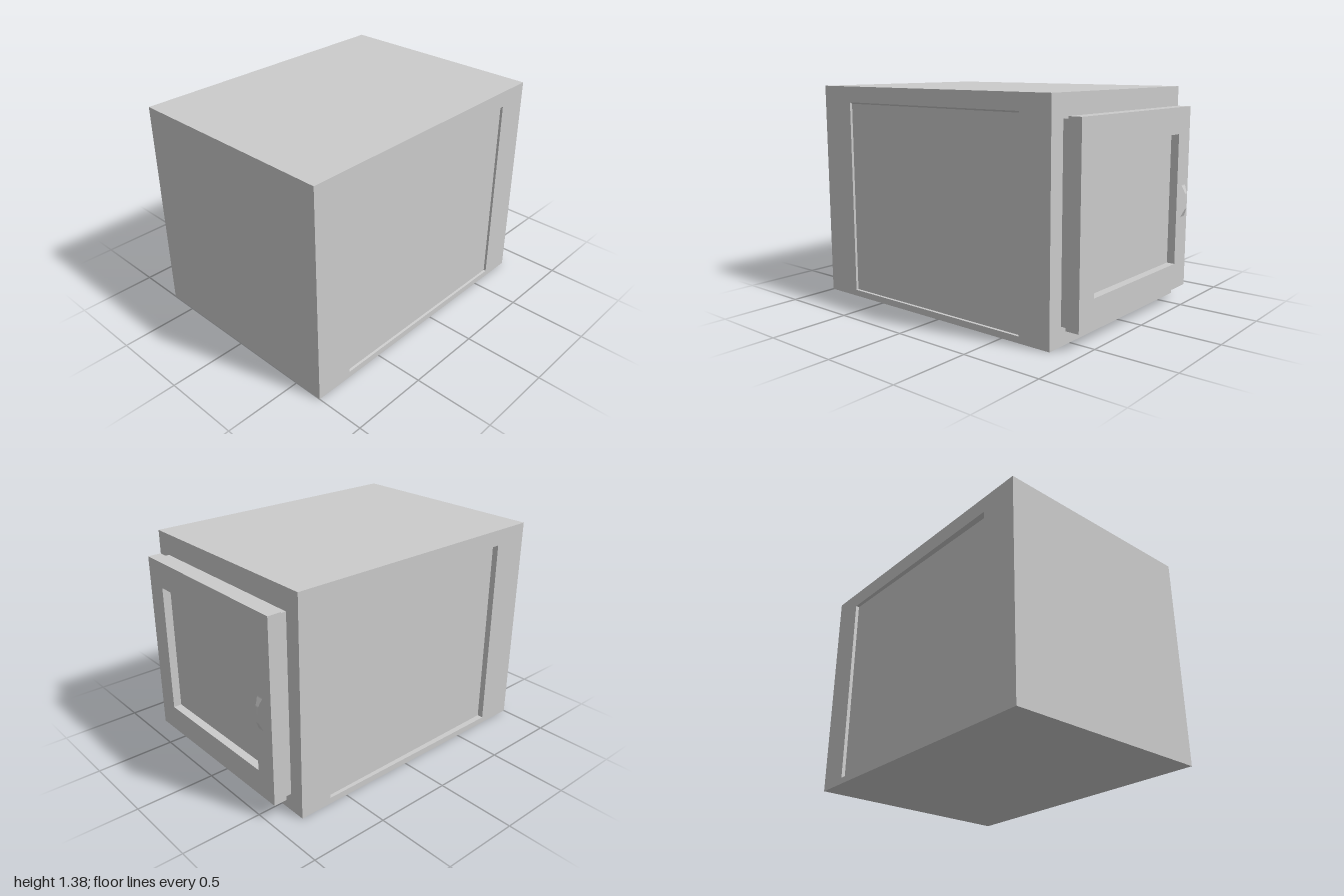
import * as THREE from 'three';

const material = new THREE.MeshStandardMaterial({ color: 0xcccccc });

// Four corners of a rectangle at depth d along an axis; d may be a function of the corner.
function rect(axis, u0, v0, u1, v1, d) {
  return [[u0, v0], [u1, v0], [u1, v1], [u0, v1]].map(([u, v]) => {
    const w = typeof d === 'function' ? d(u, v) : d;
    return axis === 'z' ? [u, v, w] : [w, u, v];
  });
}

// Closed, hard-edged solid through a chain of rectangles, capped at both ends.
function loft(name, loops) {
  const pos = [];
  const quad = (a, b, c, d) => pos.push(...a, ...b, ...c, ...a, ...c, ...d);
  for (let i = 0; i < loops.length - 1; i++) {
    const a = loops[i], b = loops[i + 1];
    for (let k = 0; k < 4; k++) {
      const n = (k + 1) % 4;
      quad(a[k], a[n], b[n], b[k]);
    }
  }
  quad(...[...loops[0]].reverse());
  quad(...loops[loops.length - 1]);
  const geo = new THREE.BufferGeometry();
  geo.setAttribute('position', new THREE.Float32BufferAttribute(pos, 3));
  geo.computeVertexNormals();
  const mesh = new THREE.Mesh(geo, material);
  mesh.name = name;
  return mesh;
}

// Linear interpolation through [key, value] pairs.
function along(points, t) {
  for (let i = 1; i < points.length; i++) {
    const [t0, v0] = points[i - 1], [t1, v1] = points[i];
    if (t <= t1) return v0 + (v1 - v0) * (t - t0) / (t1 - t0);
  }
  return points[points.length - 1][1];
}

// Thin bent strap with broad rounded ends and a narrow raised grip.
function makeHandle() {
  const bend = [[0, 0.976], [0.07, 0.976], [0.12, 0.998], [0.17, 0.999]];
  const width = [[0, 0.012], [0.004, 0.02], [0.012, 0.026], [0.02, 0.028], [0.06, 0.026],
    [0.08, 0.021], [0.1, 0.015], [0.118, 0.012], [0.17, 0.011]];
  const geo = new THREE.PlaneGeometry(1, 1, 4, 68);
  const p = geo.attributes.position;
  for (let i = 0; i < p.count; i++) {
    const y = 0.5 + (p.getY(i) + 0.5) * 0.34;
    const t = Math.min(y - 0.5, 0.84 - y);
    p.setXYZ(i, along(bend, t), y, -0.525 - p.getX(i) * 2 * along(width, t));
  }
  geo.computeVertexNormals();
  const mat = material.clone();
  mat.side = THREE.DoubleSide;
  const mesh = new THREE.Mesh(geo, mat);
  mesh.name = 'handle';
  return mesh;
}

export function createModel() {
  const group = new THREE.Group();
  group.name = 'cabinet';

  // Cabinet body with a shallow sunken panel in the front and the back
  const panel = (d) => rect('z', -0.755, 0.04, 0.625, 1.28, d);
  const shell = (z) => rect('z', -1, 0, 0.835, 1.38, z);
  const backDepth = (x) => -0.69 + 0.03 - 0.012 * x;
  const frontFloor = rect('z', -0.753, 0.042, 0.623, 1.27, 0.675);
  group.add(loft('body', [
    panel(backDepth), panel(-0.69), shell(-0.69),
    shell(0.69), panel(0.69), frontFloor,
  ]));

  // Door: narrower collar, thick slab and a sunken window
  const collar = (x) => rect('x', 0.115, -0.59, 1.245, 0.585, x);
  const slab = (x) => rect('x', 0.105, -0.607, 1.26, 0.605, x);
  const opening = (x) => rect('x', 0.27, -0.465, 1.095, 0.465, x);
  group.add(loft('door', [
    collar(0.835), collar(0.88), slab(0.88),
    slab(0.965), opening(0.965), opening(0.913),
  ]));

  group.add(makeHandle());
  return group;
}
